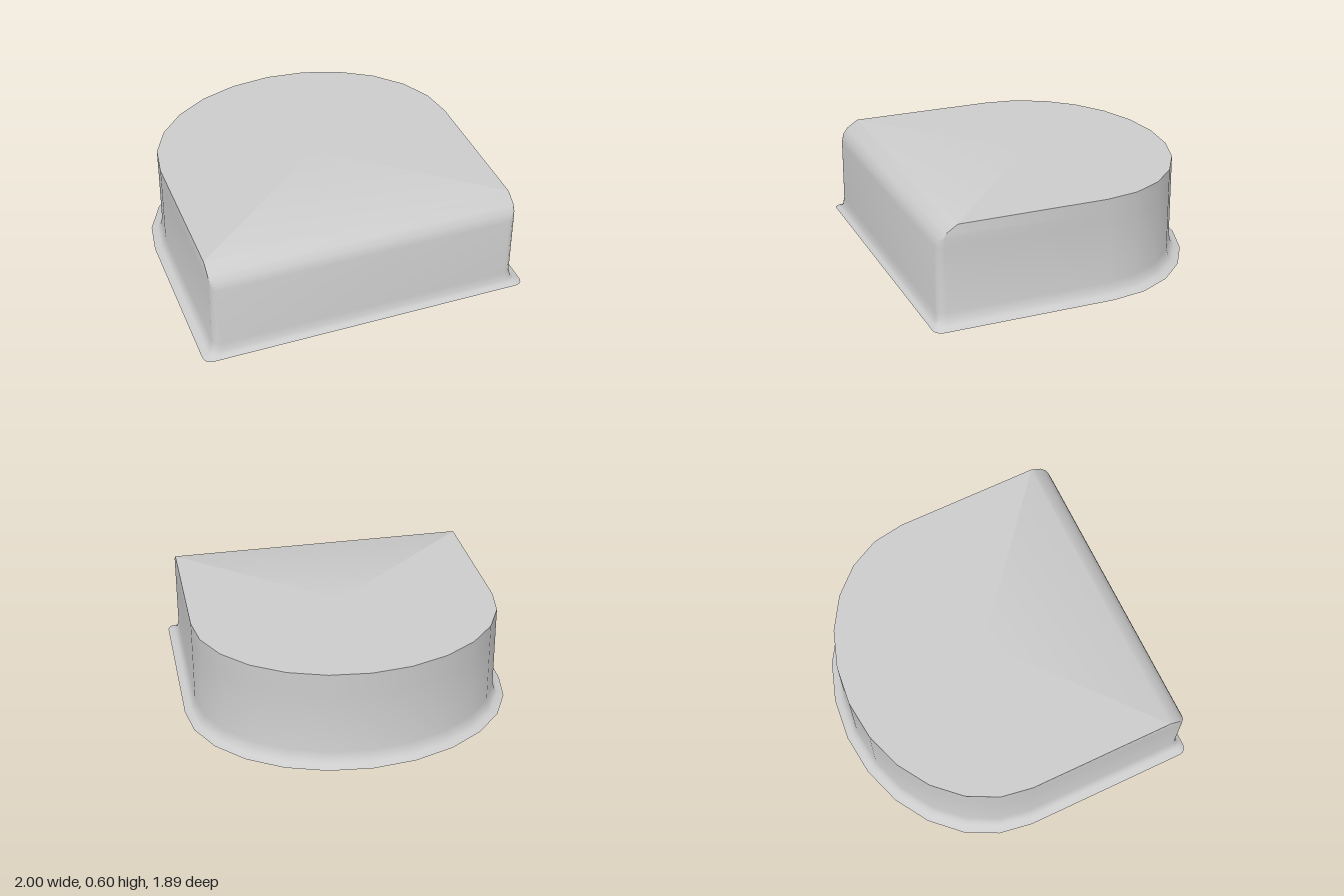
import * as THREE from 'three';
import { toCreasedNormals } from 'three/addons/utils/BufferGeometryUtils.js';

// Horizontal sections, bottom to top: [y, half width, arc centre z, arc depth, front z, corner radius]
const SECTIONS = [
  [0, 1, -0.14, 0.81, 0.945, 0.05],
  [0.015, 0.96, -0.13, 0.785, 0.922, 0.05],
  [0.035, 0.944, -0.124, 0.77, 0.912, 0.05],
  [0.085, 0.932, -0.12, 0.76, 0.905, 0.05],
  [0.47, 0.93, -0.12, 0.76, 0.9, 0.045],
  [0.52, 0.93, -0.12, 0.76, 0.884, 0.025],
  [0.555, 0.93, -0.12, 0.76, 0.85, 0.004],
  [0.6, 0.93, -0.12, 0.76, 0.78, 0.002],
];

// Outline of one section: rounded back, straight sides, small front corners
function outline([y, w, cz, depth, front, r]) {
  const pts = [];
  for (let i = 0; i <= 12; i++) {
    const a = (i / 12 - 0.5) * Math.PI;
    pts.push([w * Math.sin(a), y, cz - depth * Math.cos(a)]);
  }
  for (const side of [1, -1]) {
    for (let i = 0; i <= 3; i++) {
      const a = ((side > 0 ? i : 3 - i) / 3) * Math.PI / 2;
      pts.push([side * (w - r + r * Math.cos(a)), y, front - r + r * Math.sin(a)]);
    }
  }
  return pts;
}

function buildBody() {
  const rings = SECTIONS.map(outline);
  const n = rings[0].length;
  const pos = [];
  const tri = (a, b, c) => pos.push(...a, ...b, ...c);

  // Flared foot, walls and rounded front edge
  for (let k = 0; k < rings.length - 1; k++) {
    for (let i = 0; i < n; i++) {
      const j = (i + 1) % n;
      const [a, b, c, d] = [rings[k][i], rings[k][j], rings[k + 1][j], rings[k + 1][i]];
      tri(a, d, c);
      tri(a, c, b);
    }
  }

  // Flat underside and top
  const bottom = rings[0], top = rings[rings.length - 1];
  for (let i = 0; i < n; i++) {
    const j = (i + 1) % n;
    tri([0, 0, 0], bottom[i], bottom[j]);
    tri([0, top[0][1], 0], top[j], top[i]);
  }

  const geo = new THREE.BufferGeometry();
  geo.setAttribute('position', new THREE.Float32BufferAttribute(pos, 3));
  return toCreasedNormals(geo, 0.7);
}

export function createModel() {
  const group = new THREE.Group();
  group.name = 'roundedBlock';
  const body = new THREE.Mesh(buildBody(), new THREE.MeshStandardMaterial({ color: 0xcccccc }));
  body.name = 'flaredBody';
  group.add(body);
  return group;
}
